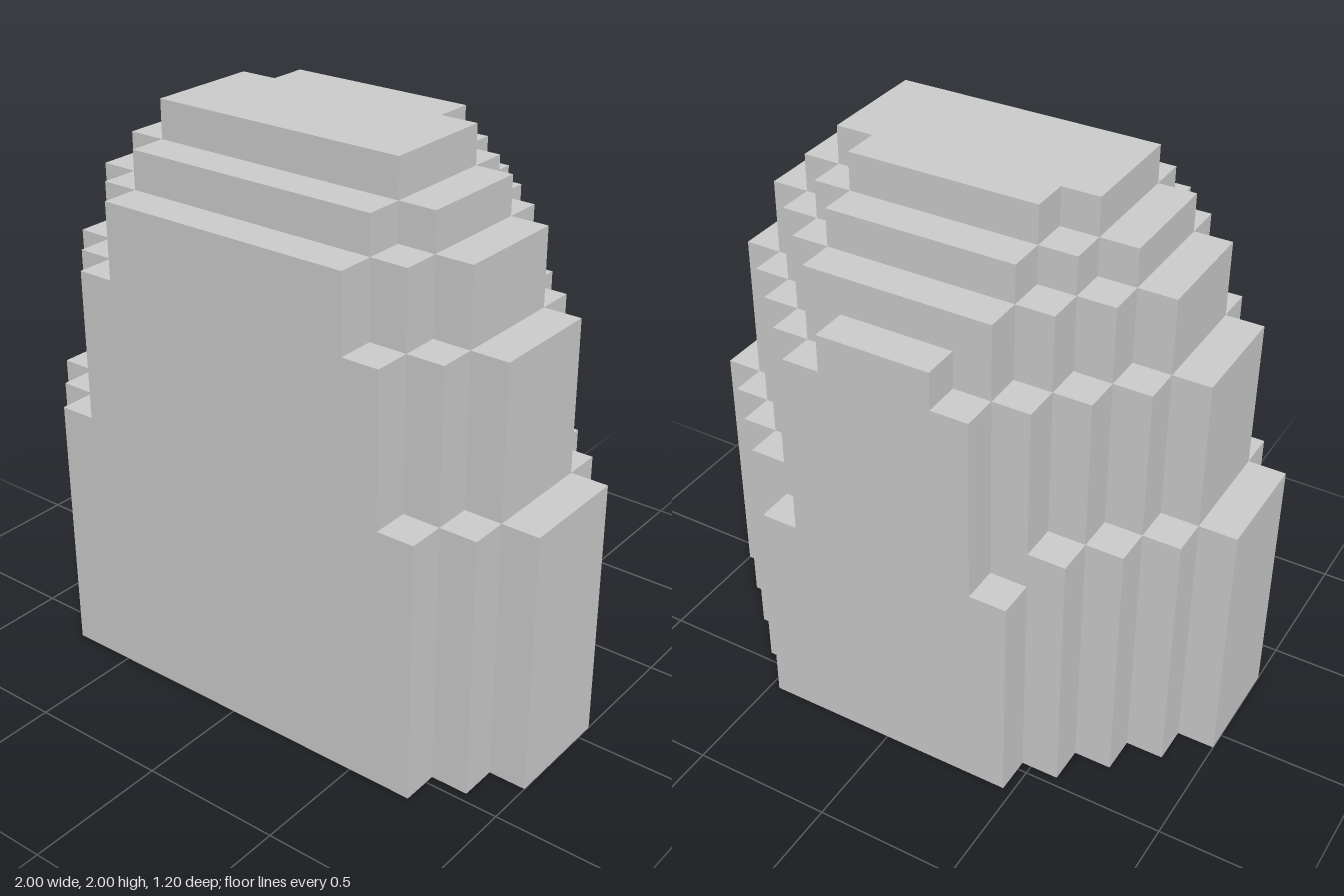
import * as THREE from 'three';

const U = 2 / 15; // size of one block

export function createModel() {
  const group = new THREE.Group();
  const material = new THREE.MeshStandardMaterial({ color: 0xcccccc, flatShading: true });

  // Stepped footprint: widest in the middle, one block narrower per row to the front and back
  function footprint(half, frontRows, backRows) {
    const right = []; // [x, z] along the +x side, from front to back
    for (let i = frontRows; i > 0; i--) {
      right.push([half - i, 2.5 + i], [half - i, 1.5 + i]);
    }
    right.push([half, 2.5], [half, -0.5]);
    for (let i = 1; i <= backRows; i++) {
      right.push([half - i, 0.5 - i], [half - i, -0.5 - i]);
    }
    const left = right.map(([x, z]) => [-x, z]).reverse();
    return new THREE.Shape([...right, ...left].map(([x, z]) => new THREE.Vector2(x * U, -z * U)));
  }

  // Body tiers: [bottom, top, half width, front rows, back rows], in blocks
  const tiers = [
    [0, 7, 7.5, 2, 3],
    [7, 11, 6.5, 2, 3],
    [11, 13, 5.5, 2, 3],
    [13, 14, 4.5, 1, 2],
    [14, 15, 3.5, 0, 1],
  ];
  tiers.forEach(([y0, y1, half, front, back], i) => {
    const geometry = new THREE.ExtrudeGeometry(footprint(half, front, back), {
      depth: (y1 - y0) * U,
      bevelEnabled: false,
    });
    geometry.rotateX(-Math.PI / 2);
    const mesh = new THREE.Mesh(geometry, material);
    mesh.position.y = y0 * U;
    mesh.name = `bodyTier${i + 1}`;
    group.add(mesh);
  });

  // Back slab, narrowing upward: [bottom, top, half width]
  [[0, 6, 3.5], [6, 11, 2.5], [11, 12, 1.5]].forEach(([y0, y1, half], i) => {
    const mesh = new THREE.Mesh(new THREE.BoxGeometry(2 * half * U, (y1 - y0) * U, U), material);
    mesh.position.set(0, ((y0 + y1) / 2) * U, -4 * U);
    mesh.name = `backSlab${i + 1}`;
    group.add(mesh);
  });

  return group;
}
